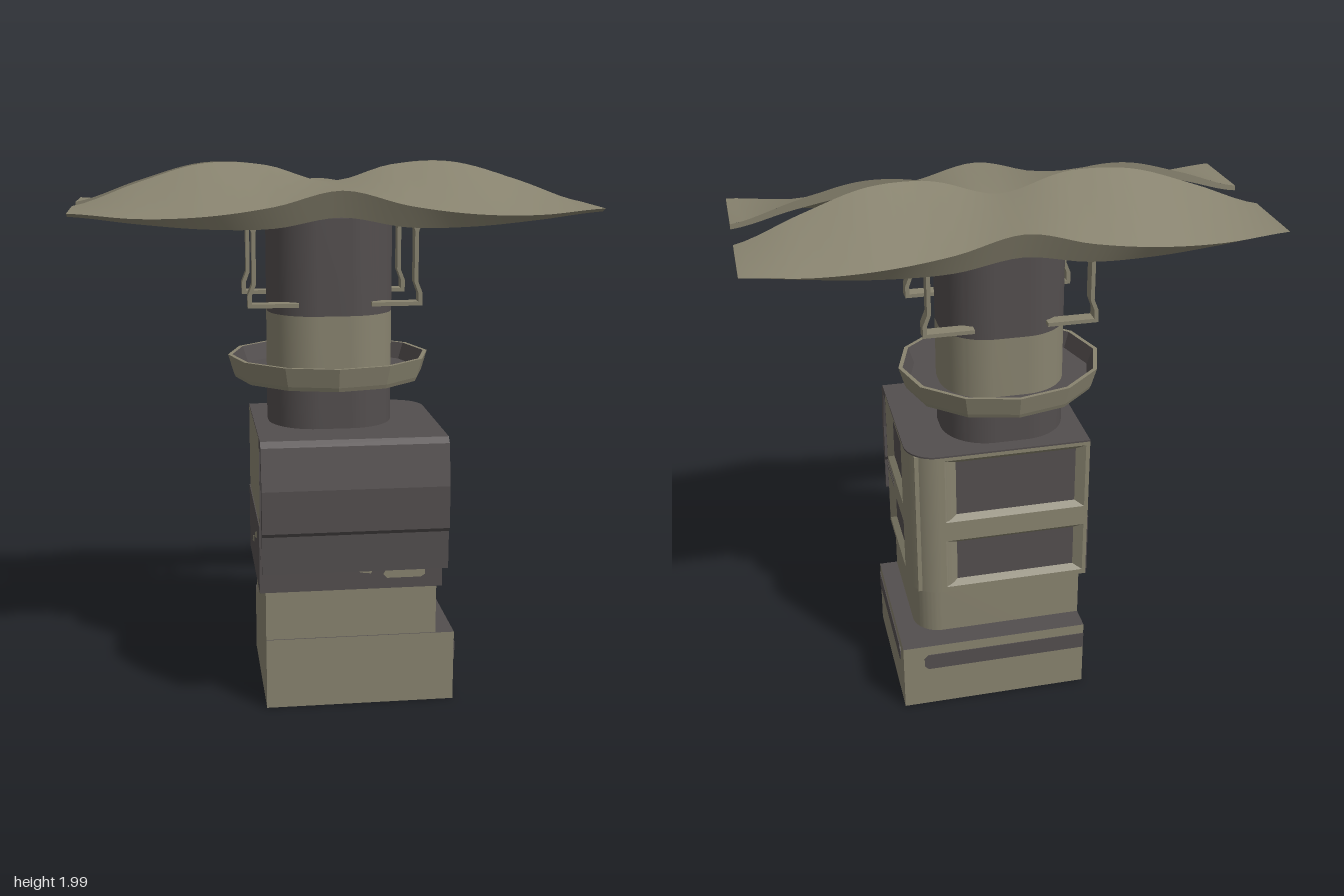
import * as THREE from 'three';
import { toCreasedNormals } from 'three/addons/utils/BufferGeometryUtils.js';

const mat = (name, color) => {
  const m = new THREE.MeshStandardMaterial({ color });
  m.name = name;
  return m;
};

export function createModel() {
  const olive = mat('olive', 0x88836f);
  const dark = mat('dark grey', 0x534e4e);
  const model = new THREE.Group();

  const add = (name, geo, material, parent = model) => {
    const mesh = new THREE.Mesh(geo, material);
    mesh.name = name;
    parent.add(mesh);
    return mesh;
  };
  const box = (name, x0, x1, y0, y1, z0, z1, material, parent) => {
    const g = new THREE.BoxGeometry(x1 - x0, y1 - y0, z1 - z0);
    g.translate((x0 + x1) / 2, (y0 + y1) / 2, (z0 + z1) / 2);
    return add(name, g, material, parent);
  };
  const polygon = (pts) => new THREE.Shape(pts.map(([x, y]) => new THREE.Vector2(x, y)));
  const rect = (x0, x1, y0, y1) => polygon([[x0, y0], [x1, y0], [x1, y1], [x0, y1]]);

  // Upright column: radius r on the back-right corner, rest on the other three
  const column = (name, x0, x1, z0, z1, y0, y1, r, rest, materials) => {
    const s = new THREE.Shape();
    const a = -z1, b = -z0;
    s.moveTo(x0 + rest, a);
    s.lineTo(x1 - rest, a);
    if (rest) s.absarc(x1 - rest, a + rest, rest, -Math.PI / 2, 0);
    s.lineTo(x1, b - r);
    if (r) s.absarc(x1 - r, b - r, r, 0, Math.PI / 2);
    s.lineTo(x0 + rest, b);
    if (rest) s.absarc(x0 + rest, b - rest, rest, Math.PI / 2, Math.PI);
    s.lineTo(x0, a + rest);
    if (rest) s.absarc(x0 + rest, a + rest, rest, Math.PI, Math.PI * 1.5);
    const g = new THREE.ExtrudeGeometry(s, { depth: y1 - y0, bevelEnabled: false, curveSegments: 12 });
    g.rotateX(-Math.PI / 2).translate(0, y0, 0);
    return add(name, toCreasedNormals(g, 0.6), materials);
  };

  // Base block, its bands, and the tier above
  column('base', -0.265, 0.44, -0.32, 0.265, 0, 0.27, 0, 0, [dark, olive]);
  column('baseTier', -0.265, 0.37, -0.23, 0.26, 0.27, 0.465, 0.1, 0, [dark, olive]);
  const band = (name, u0, u1) => {
    const c = 0.015;
    const s = polygon([[u0, 0.165], [u1 - c, 0.165], [u1, 0.165 + c], [u1, 0.23 - c], [u1 - c, 0.23], [u0, 0.23]]);
    return add(name, new THREE.ExtrudeGeometry(s, { depth: 0.004, bevelEnabled: false }), dark);
  };
  const sideBand = band('sideBand', -0.265, 0.25);
  sideBand.rotation.y = Math.PI / 2;
  sideBand.position.x = 0.439;
  const backBand = band('backBand', -0.36, 0.265);
  backBand.geometry.scale(-1, 1, 1);
  backBand.geometry.rotateX(Math.PI); // two flips keep the face order
  backBand.geometry.dispose();
  const bandShape = polygon([[-0.36, 0.18], [-0.345, 0.165], [0.265, 0.165], [0.265, 0.23], [-0.345, 0.23], [-0.36, 0.215]]);
  backBand.geometry = new THREE.ExtrudeGeometry(bandShape, { depth: 0.004, bevelEnabled: false });
  backBand.rotation.y = Math.PI;
  backBand.position.z = -0.319;

  // Main body: core, rounded corner post and dark lid
  const d = 0.025, y0 = 0.465, y1 = 1.044, r = 0.11;
  box('bodyCore', -0.285, 0.385 - d, y0, y1, -0.255 + d, 0.285, olive);
  const post = new THREE.CylinderGeometry(r, r, y1 - y0, 40, 1);
  post.translate(0.385 - r, (y0 + y1) / 2, -0.255 + r);
  add('cornerPost', post, olive);
  column('bodyLid', -0.285, 0.385, -0.255, 0.285, y1, 1.05, r, 0, [dark, dark]);

  // Wall with two bevelled recesses holding dark panels
  const windowWall = (name, u0, u1, f0, f1) => {
    const wall = new THREE.Group();
    wall.name = name;
    model.add(wall);
    const s = rect(u0, u1, y0, y1);
    for (const [a, b] of [[0.485, 0.69], [0.77, 1.03]]) {
      s.holes.push(rect(f0, f1, a, b));
      const ring = (m, n, z) => [[f0 + m, a + n, z], [f1 - m, a + n, z], [f1 - m, b - n, z], [f0 + m, b - n, z]];
      const outer = ring(0, 0, 0), inner = ring(0.033, 0.02, 0.004 - d);
      const pos = [];
      for (let i = 0; i < 4; i++) {
        const j = (i + 1) % 4;
        pos.push(...outer[i], ...outer[j], ...inner[j], ...outer[i], ...inner[j], ...inner[i]);
      }
      const g = new THREE.BufferGeometry();
      g.setAttribute('position', new THREE.Float32BufferAttribute(pos, 3));
      g.computeVertexNormals();
      add('recessFrame', g, olive, wall);
      box('recessPanel', f0 + 0.033, f1 - 0.033, a + 0.02, b - 0.02, -d - 0.003, 0.004 - d, dark, wall);
    }
    const g = new THREE.ExtrudeGeometry(s, { depth: d, bevelEnabled: false });
    add('wallPlate', g.translate(0, 0, -d), olive, wall);
    return wall;
  };
  const sideWall = windowWall('sideWall', -0.285, 0.145, -0.275, 0.085);
  sideWall.rotation.y = Math.PI / 2;
  sideWall.position.x = 0.385;
  const backWall = windowWall('backWall', -0.275, 0.285, -0.255, 0.27);
  backWall.rotation.y = Math.PI;
  backWall.position.z = -0.255;
  for (const y of [0.72, 0.745]) box('sideSlot', 0.384, 0.387, y, y + 0.006, 0.12, 0.285, dark);

  // Dark facings with worn patches
  box('frontFacing', -0.285, 0.385, y0, 1.044, 0.284, 0.288, dark);
  box('leftoverSideFacing', -0.288, -0.284, y0, 0.72, -0.255, 0.285, dark);
  const patch = (pts) => new THREE.ExtrudeGeometry(polygon(pts), { depth: 0.003, bevelEnabled: false });
  const longPatch = [[0.165, 0.52], [0.18, 0.505], [0.305, 0.505], [0.32, 0.515], [0.32, 0.535], [0.3, 0.545], [0.18, 0.545]];
  const smallPatch = [[0.04, 0.57], [0.08, 0.53], [0.12, 0.525], [0.13, 0.545], [0.13, 0.57]];
  for (const p of [longPatch, smallPatch]) add('frontPatch', patch(p), olive).position.z = 0.287;
  for (const [z, y] of [[-0.02, 0.57], [0.12, 0.63]]) {
    const m = add('sidePatch', patch([[-0.05, -0.02], [0.03, 0], [0.05, 0.03], [-0.02, 0.01]]), olive);
    m.rotation.y = -Math.PI / 2;
    m.position.set(-0.287, y, z);
  }

  // Folded front awning, profile swept across the width
  const awning = polygon([[0.285, 1.05], [0.35, 1.05], [0.37, 1.03], [0.4, 0.88], [0.4, 0.725], [0.388, 0.71], [0.388, 0.57],
    [0.374, 0.57], [0.374, 0.7], [0.36, 0.72], [0.365, 0.86], [0.335, 1.015], [0.285, 1.015]]);
  const awningGeo = new THREE.ExtrudeGeometry(awning, { depth: 0.67, bevelEnabled: false });
  awningGeo.rotateY(-Math.PI / 2).translate(0.385, 0, 0);
  add('awning', awningGeo, dark);

  // Neck in three bands
  for (const [name, a, b, m] of [['neckLower', 1.05, 1.215, dark], ['neckMiddle', 1.215, 1.46, olive], ['neckUpper', 1.46, 1.805, dark]])
    column(name, -0.23, 0.226, -0.197, 0.192, a, b, 0.17, 0.17, [m, m]);

  // Faceted dish around the neck
  const lathe = (name, pts, m) => {
    const g = new THREE.LatheGeometry(pts.map(([x, y]) => new THREE.Vector2(x, y)), 12).toNonIndexed();
    g.scale(1, 1, 0.906).translate(-0.002, 0, -0.007);
    g.computeVertexNormals();
    add(name, g, m);
  };
  lathe('dishShell', [[0.19, 1.21], [0.345, 1.21], [0.352, 1.225], [0.3725, 1.295], [0.357, 1.295]], olive);
  lathe('dishInside', [[0.357, 1.295], [0.335, 1.235], [0.19, 1.235]], dark);

  // Four strap brackets under the canopy
  const strap = polygon([[0.26, 1.86], [0.32, 1.86], [0.31, 1.79], [0.295, 1.76], [0.295, 1.58], [0.311, 1.54], [0.311, 1.495],
    [0.13, 1.495], [0.13, 1.509], [0.296, 1.509], [0.296, 1.54], [0.281, 1.58], [0.281, 1.76], [0.27, 1.79]]);
  const strapGeo = new THREE.ExtrudeGeometry(strap, { depth: 0.05, bevelEnabled: false });
  strapGeo.translate(0, 0, -0.025);
  for (const z of [0.175, -0.185]) for (const turn of [0, Math.PI]) {
    const m = add('bracket', strapGeo, olive);
    m.position.z = z;
    m.rotation.y = turn;
  }

  // Wavy canopy: height curves along x, from the middle out to the tip
  const W = 0.91;
  const heights = (h) => {
    const pts = [...h.slice(1).reverse(), ...h].map((y, i) => new THREE.Vector2(i, y));
    const curve = new THREE.SplineCurve(pts);
    return (x) => curve.getPoint((x / W + 1) / 2).y;
  };
  const ridge = heights([1.92, 1.98, 1.988, 1.925, 1.848]);
  const edge = heights([1.912, 1.86, 1.83, 1.825, 1.845]);
  const lip = heights([1.82, 1.785, 1.785, 1.805, 1.832]);
  const under = heights([1.84, 1.91, 1.94, 1.895, 1.83]);
  const section = (x, s) => {
    const t = Math.max(0, (Math.abs(x) - 0.27) / (W - 0.27));
    const zi = 0.1 * Math.pow(t, 0.85);
    return [[zi, ridge(x)], [0.385, edge(x)], [0.35, lip(x)], [zi, under(x)]].map(([z, y]) => [x, y, s * z - 0.01]);
  };
  const surface = (name, pos, idx, s, m) => {
    if (s < 0) idx.reverse();
    const g = new THREE.BufferGeometry();
    g.setAttribute('position', new THREE.Float32BufferAttribute(pos, 3));
    g.setIndex(idx);
    g.computeVertexNormals();
    add(name, g, m);
  };
  const strip = (name, k, s, xa, xb, n, m) => {
    const pos = [], idx = [];
    for (let i = 0; i <= n; i++) {
      const p = section(xa + (xb - xa) * i / n, s);
      pos.push(...p[k], ...p[(k + 1) % 4]);
      const a = 2 * i;
      if (i < n) idx.push(a, a + 1, a + 3, a, a + 3, a + 2);
    }
    surface(name, pos, idx, s, m);
  };
  for (const s of [1, -1]) {
    strip('canopyTop', 0, s, -W, W, 48, olive);
    strip('canopyEdge', 1, s, -W, W, 48, olive);
    strip('canopyUnderside', 2, s, -W, -0.25, 18, olive);
    strip('canopyCentreUnderside', 2, s, -0.25, 0.25, 16, dark);
    strip('canopyUnderside', 2, s, 0.25, W, 18, olive);
    strip('canopySlitWall', 3, s, -W, -0.27, 18, olive);
    strip('canopySlitWall', 3, s, 0.27, W, 18, olive);
    for (const e of [1, -1]) surface('canopyTip', section(e * W, s).flat(), [0, 1, 2, 0, 2, 3], s * e, olive);
  }
  return model;
}
